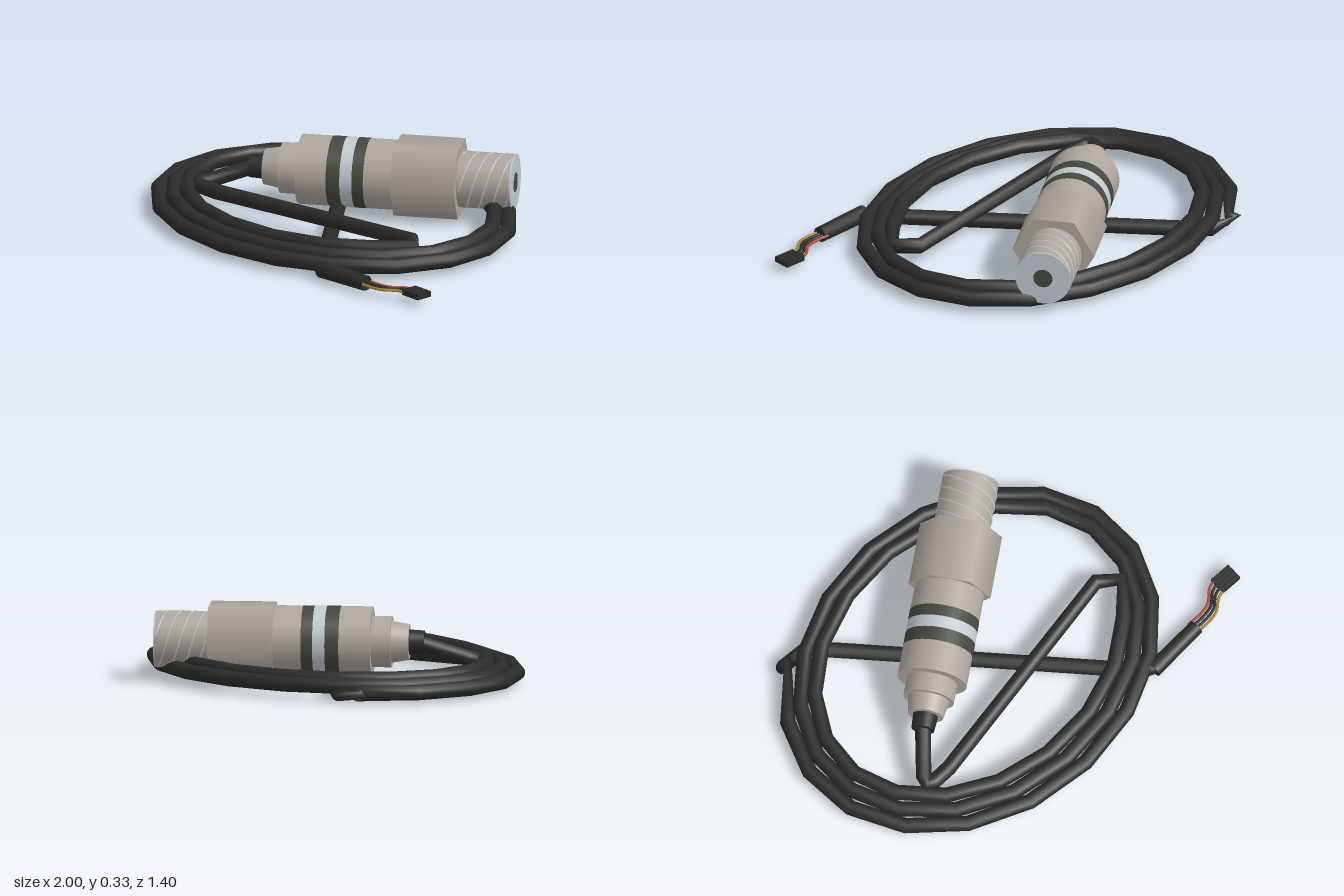
import * as THREE from 'three';

const mat = (name, color) => Object.assign(new THREE.MeshStandardMaterial({ color }), { name });
const V = (x, y, z) => new THREE.Vector3(x, y, z);

// Straight-segment path, so that the cable keeps its visible kinks
class Polyline extends THREE.Curve {
  constructor(points) { super(); this.points = points; }
  getPointAt(u) {
    const n = this.points.length - 1, i = Math.min(Math.floor(u * n + 1e-6), n - 1);
    return this.points[i].clone().lerp(this.points[i + 1], u * n - i);
  }
  getPoint(u) { return this.getPointAt(u); }
  getTangentAt(u) {
    const p = this.points, n = p.length - 1, i = Math.round(u * n), t = V(0, 0, 0);
    if (i > 0) t.add(p[i].clone().sub(p[i - 1]).normalize());
    if (i < n) t.add(p[i + 1].clone().sub(p[i]).normalize());
    return t.normalize();
  }
}

export function createModel() {
  const model = new THREE.Group();
  model.name = 'sensorWithCable';
  const steel = mat('warmSteel', 0xaea69d);
  const silver = mat('silver', 0xc2cad0);
  const band = mat('darkBand', 0x45473f);
  const black = mat('blackRubber', 0x2b2b2b);
  const red = mat('redWire', 0xb04a3a);
  const gold = mat('goldWire', 0xa88434);
  black.side = THREE.DoubleSide;

  const add = (parent, name, geometry, material) => {
    const mesh = new THREE.Mesh(geometry, material);
    mesh.name = name;
    parent.add(mesh);
    return mesh;
  };

  // Sensor body: local +x points to the threaded tip, which sits at the origin
  const sensor = new THREE.Group();
  sensor.name = 'sensor';
  sensor.position.set(0.42, 0.176, -0.58);
  sensor.rotation.y = 0.647;
  model.add(sensor);

  // One turned section from distance a to b behind the tip
  const section = (name, a, b, ra, rb, material, sides = 40) => {
    const g = new THREE.CylinderGeometry(ra, rb, b - a, sides);
    g.rotateZ(-Math.PI / 2);
    g.translate(-(a + b) / 2, 0, 0);
    return add(sensor, name, g, material);
  };
  section('tipHole', -0.004, 0.002, 0.042, 0.042, band);
  section('tipFace', -0.002, 0.004, 0.122, 0.122, silver);
  section('threadCore', 0.004, 0.24, 0.122, 0.122, steel);
  section('hexNut', 0.234, 0.515, 0.179, 0.179, steel, 6);
  section('frontBarrel', 0.515, 0.637, 0.151, 0.151, steel);
  section('frontBand', 0.637, 0.687, 0.152, 0.152, band);
  section('lightRing', 0.687, 0.74, 0.152, 0.152, silver);
  section('rearBand', 0.74, 0.8, 0.152, 0.152, band);
  section('rearBarrel', 0.8, 0.936, 0.151, 0.151, steel);
  section('rearStep', 0.936, 1.02, 0.11, 0.11, steel);
  section('rearTaper', 1.02, 1.095, 0.09, 0.077, steel);
  section('cableGland', 1.095, 1.16, 0.054, 0.05, black);

  // Multi-start thread ridges
  const starts = 4, pitch = 0.22;
  for (let k = 0; k < starts; k++) {
    const pts = [];
    for (let i = 0; i <= 40; i++) {
      const x = -0.225 + 0.215 * i / 40;
      const a = (x / pitch + k / starts) * Math.PI * 2;
      pts.push(V(x, 0.121 * Math.sin(a), 0.121 * Math.cos(a)));
    }
    add(sensor, 'threadRidge', new THREE.TubeGeometry(new THREE.CatmullRomCurve3(pts), 60, 0.004, 5), silver);
  }

  // Cable: from the gland, across, round the coil, then back under it to the loose end
  const path = [
    V(-0.47, 0.176, 0.092), V(-0.51, 0.165, 0.125), V(-0.63, 0.105, 0.26), V(-0.64, 0.1, 0.295),
    V(-0.61, 0.097, 0.305), V(-0.52, 0.095, 0.302), V(0.52, 0.095, 0.105), V(0.61, 0.099, 0.175),
  ];
  const first = -0.4, last = 2.13, steps = 46;
  for (let i = 0; i <= steps; i++) {
    const turn = first + (last - first) * i / steps;
    const a = turn * Math.PI * 2, rx = 0.749 + 0.064 * turn;
    path.push(V(-0.091 - rx * Math.cos(a), 0.09 - 0.021 * turn, -0.014 - (rx - 0.176) * Math.sin(a)));
  }
  path.push(V(-0.72, 0.043, -0.535), V(-0.59, 0.036, -0.53), V(-0.5, 0.034, -0.44),
    V(0.3, 0.034, 0.41), V(0.42, 0.04, 0.53), V(0.47, 0.045, 0.553), V(0.7, 0.045, 0.536));
  add(model, 'cable', new THREE.TubeGeometry(new Polyline(path), path.length - 1, 0.034, 12), black);

  // Sleeve at the loose end
  const sleeve = add(model, 'cableSleeve', new THREE.CylinderGeometry(0.034, 0.037, 0.27, 12), black);
  sleeve.position.set(0.575, 0.045, 0.545);
  sleeve.rotation.set(0, 0.07, -Math.PI / 2, 'YXZ');

  // Four wires, each ending in a small plug
  [red, black, black, gold].forEach((material, i) => {
    const z0 = 0.505 + i * 0.017, z1 = 0.43 + i * 0.02;
    const wire = new THREE.CatmullRomCurve3([
      V(0.69, 0.045, z0), V(0.76, 0.045, z0), V(0.82, 0.045, z0 * 0.8 + z1 * 0.2),
      V(0.87, 0.045, z0 * 0.2 + z1 * 0.8), V(0.92, 0.045, z1),
    ]);
    add(model, 'wire', new THREE.TubeGeometry(wire, 16, 0.0065, 8), material);
    add(model, 'plug', new THREE.BoxGeometry(0.1, 0.025, 0.017), black).position.set(0.95, 0.045, z1);
  });

  return model;
}
